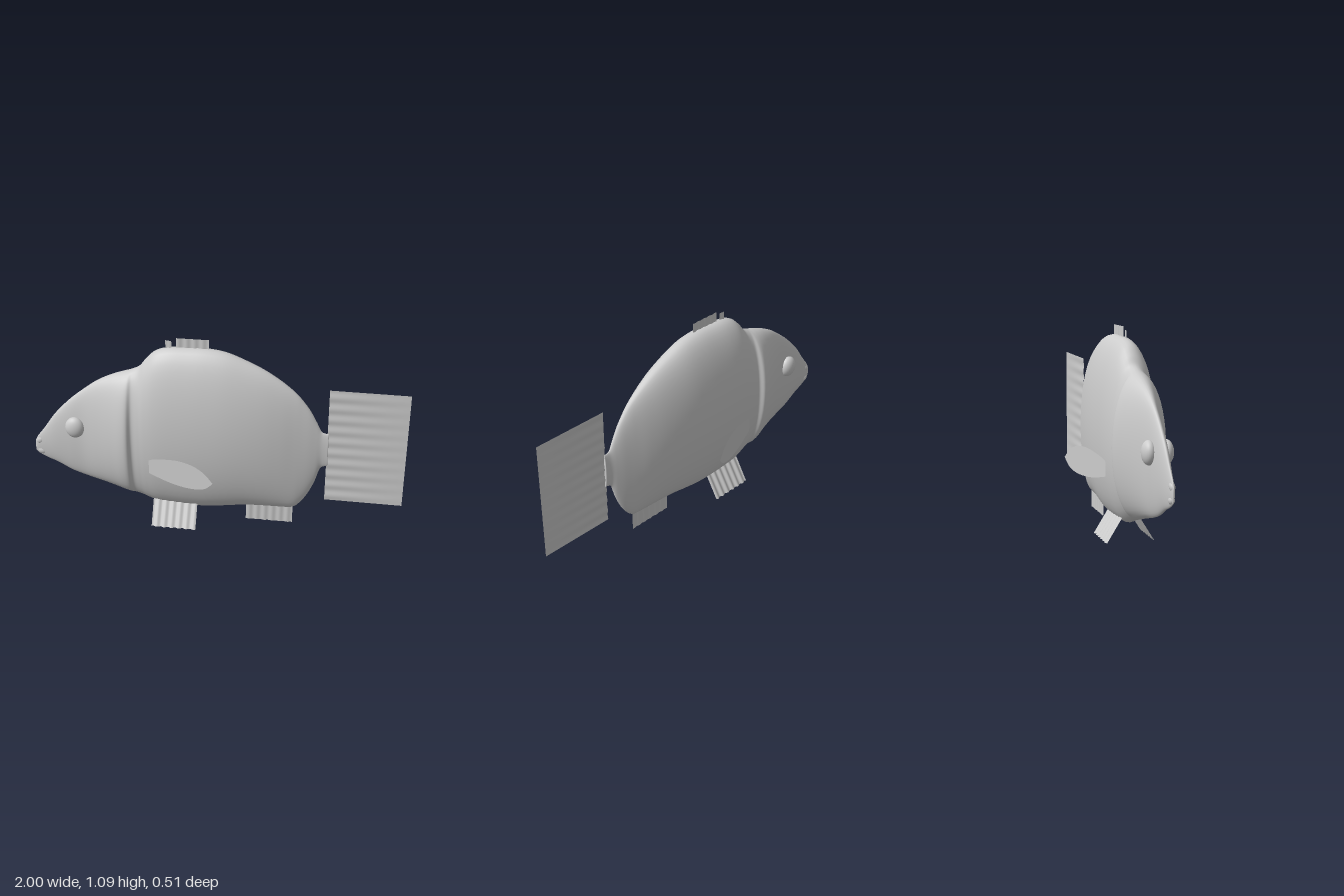
import * as THREE from 'three';

const grey = new THREE.MeshStandardMaterial({ color: 0xcccccc, side: THREE.DoubleSide });
grey.name = 'grey';

// Body stations from snout to tail root: x, top, bottom, half width
const stations = [
  [-1, 0.42, 0.36, 0.004], [-0.985, 0.45, 0.343, 0.009], [-0.94, 0.51, 0.318, 0.016],
  [-0.88, 0.597, 0.293, 0.026], [-0.8, 0.685, 0.25, 0.036], [-0.72, 0.755, 0.222, 0.047],
  [-0.64, 0.815, 0.2, 0.074], [-0.56, 0.856, 0.178, 0.107], [-0.5, 0.878, 0.16, 0.132],
  [-0.465, 0.889, 0.151, 0.136], [-0.44, 0.9, 0.145, 0.116], [-0.405, 0.92, 0.135, 0.12],
  [-0.37, 0.965, 0.12, 0.128], [-0.32, 1.012, 0.103, 0.136], [-0.25, 1.035, 0.096, 0.141],
  [-0.15, 1.041, 0.091, 0.143], [-0.05, 1.041, 0.092, 0.141], [0.05, 1.026, 0.104, 0.135],
  [0.15, 0.988, 0.118, 0.123], [0.25, 0.94, 0.122, 0.105], [0.34, 0.882, 0.122, 0.083],
  [0.41, 0.825, 0.125, 0.062], [0.45, 0.78, 0.155, 0.05], [0.49, 0.725, 0.215, 0.038],
  [0.525, 0.66, 0.295, 0.026], [0.55, 0.61, 0.378, 0.017], [0.57, 0.598, 0.396, 0.013],
  [0.59, 0.595, 0.4, 0.011],
];

function smoothCurve(points) {
  return new THREE.CatmullRomCurve3(points, false, 'catmullrom', 0.5);
}

// Loft of oval cross-sections, closed at both ends
function bodyGeometry(rings, sides) {
  const outline = smoothCurve(stations.map(([x, top, low]) => new THREE.Vector3(x, top, low)));
  const girth = smoothCurve(stations.map(([x, , , w]) => new THREE.Vector3(x, w, 0)));
  const positions = [];
  const index = [];
  for (let i = 0; i <= rings; i++) {
    const p = outline.getPoint(i / rings);
    const w = girth.getPoint(i / rings).y;
    for (let j = 0; j < sides; j++) {
      const a = (j / sides) * Math.PI * 2;
      positions.push(p.x, (p.y + p.z) / 2 + Math.cos(a) * (p.y - p.z) / 2, Math.sin(a) * w);
      if (i === rings) continue;
      const k = (j + 1) % sides;
      const [q, r, s, t] = [i * sides + j, i * sides + k, (i + 1) * sides + j, (i + 1) * sides + k];
      index.push(q, r, s, r, t, s);
    }
  }
  for (const end of [0, rings]) {
    const centre = positions.length / 3;
    const p = outline.getPoint(end / rings);
    positions.push(p.x, (p.y + p.z) / 2, 0);
    for (let j = 0; j < sides; j++) {
      const q = end * sides + j;
      const r = end * sides + (j + 1) % sides;
      index.push(centre, ...(end ? [q, r] : [r, q]));
    }
  }
  const geo = new THREE.BufferGeometry();
  geo.setAttribute('position', new THREE.Float32BufferAttribute(positions, 3));
  geo.setIndex(index);
  geo.computeVertexNormals();
  return geo;
}

// Thin sheet spanning x0..x1, y0..y1, with z given by a rule
function sheet(x0, x1, y0, y1, nx, ny, rule) {
  const geo = new THREE.PlaneGeometry(x1 - x0, y1 - y0, nx, ny);
  geo.translate((x0 + x1) / 2, (y0 + y1) / 2, 0);
  const p = geo.attributes.position;
  for (let i = 0; i < p.count; i++) p.setZ(i, rule(p.getX(i), p.getY(i)));
  geo.computeVertexNormals();
  return geo;
}

export function createModel() {
  const fish = new THREE.Group();
  fish.name = 'fish';
  const add = (name, geo) => {
    const mesh = new THREE.Mesh(geo, grey);
    mesh.name = name;
    fish.add(mesh);
    return mesh;
  };

  add('body', bodyGeometry(160, 48));

  // Lips
  for (const [name, x, y, tilt] of [['upperLip', -0.972, 0.425, 0.7], ['lowerLip', -0.967, 0.36, -0.4]]) {
    const lip = add(name, new THREE.SphereGeometry(1, 20, 14));
    lip.scale.set(0.026, 0.02, 0.014);
    lip.position.set(x, y, 0);
    lip.rotation.z = tilt;
  }

  // Unpaired fins, lightly rippled
  const ripple = (x) => 0.002 * Math.sin(x * 150);
  add('dorsalFin', sheet(-0.21, -0.04, 0.98, 1.092, 24, 1, ripple));
  add('dorsalSpine', sheet(-0.267, -0.235, 0.98, 1.075, 6, 1, ripple));
  add('analFin', sheet(0.16, 0.415, 0.022, 0.15, 40, 1, ripple));
  add('tailFin', sheet(0.583, 0.996, 0.187, 0.852, 4, 80,
    (x, y) => 0.005 * Math.sin(y * 95) * (1 - x)));

  // Leaf outline of the side fin
  const upper = [[-0.345, 0.43], [-0.32, 0.444], [-0.25, 0.464], [-0.17, 0.477], [-0.09, 0.469], [-0.03, 0.44]];
  const lower = [[0.015, 0.395], [-0.03, 0.35], [-0.1, 0.328], [-0.19, 0.325], [-0.27, 0.336], [-0.345, 0.353]];
  const leaf = new THREE.Shape();
  leaf.moveTo(...upper[0]);
  leaf.splineThru(upper.slice(1).concat([lower[0]]).map((p) => new THREE.Vector2(...p)));
  leaf.splineThru(lower.slice(1).map((p) => new THREE.Vector2(...p)));

  for (const side of [1, -1]) {
    const label = side > 0 ? 'near' : 'far';

    const eye = add(label + 'Eye', new THREE.SphereGeometry(1, 28, 20));
    eye.scale.set(0.052, 0.06, 0.035);
    eye.position.set(-0.762, 0.545, side * 0.043);

    // Side fin slants outwards towards the tail
    const geo = new THREE.ShapeGeometry(leaf, 8);
    const p = geo.attributes.position;
    for (let i = 0; i < p.count; i++) p.setZ(i, side * (0.255 + (p.getX(i) - 0.015) * 0.335));
    geo.computeVertexNormals();
    add(label + 'PectoralFin', geo);

    // Belly fin splays outwards and is pleated
    add(label + 'PelvicFin', sheet(-0.343, -0.1, 0.005, 0.15, 48, 1,
      (x, y) => side * (0.127 - (y - 0.005) * 0.62 + 0.004 * Math.sin(x * 155))));
  }
  return fish;
}
